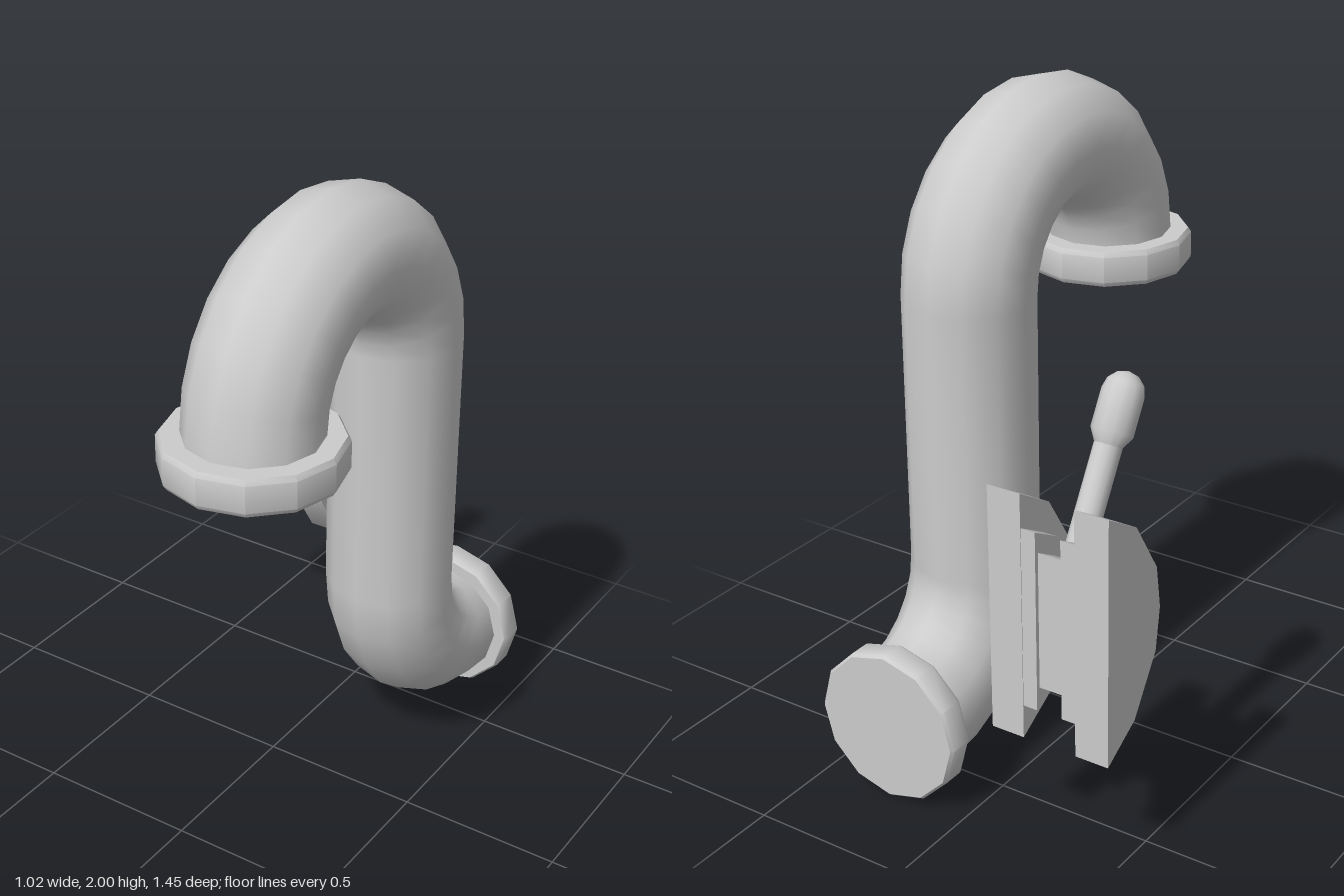
import * as THREE from 'three';
import { toCreasedNormals } from 'three/addons/utils/BufferGeometryUtils.js';

const SIDES = 12;
const PIPE_X = 0.25;
const PIPE_R = 0.195;
const grey = new THREE.MeshStandardMaterial({ color: 0xcccccc });
const greyDouble = new THREE.MeshStandardMaterial({ color: 0xcccccc, side: THREE.DoubleSide });

function add(parent, name, geometry, material = grey) {
  const mesh = new THREE.Mesh(geometry, material);
  mesh.name = name;
  parent.add(mesh);
  return mesh;
}

function lathe(points, sides) {
  const profile = points.map(([r, y]) => new THREE.Vector2(r, y));
  return toCreasedNormals(new THREE.LatheGeometry(profile, sides), 0.75);
}

// Rings swept along a hook, a straight drop and a bend to the wall
function pipeGeometry() {
  const rings = [];
  for (let i = 0; i <= 12; i++) {
    const a = (i * Math.PI) / 12, c = Math.cos(a), s = Math.sin(a);
    rings.push({ z: 0.1 + 0.367 * c, y: 1.44 + 0.367 * s, nz: c, ny: s });
  }
  for (let i = 0; i <= 6; i++) {
    const a = (-i * Math.PI) / 12, c = Math.cos(a), s = Math.sin(a);
    rings.push({ z: -0.64 + 0.37 * c, y: 0.615 + 0.37 * s, nz: -c, ny: -s });
  }
  const positions = [], index = [];
  rings.forEach(({ z, y, nz, ny }, i) => {
    for (let j = 0; j < SIDES; j++) {
      const b = (j * 2 * Math.PI) / SIDES, out = PIPE_R * Math.cos(b);
      positions.push(PIPE_X + PIPE_R * Math.sin(b), y + ny * out, z + nz * out);
      if (i === rings.length - 1) continue;
      const p = i * SIDES + j, q = i * SIDES + ((j + 1) % SIDES);
      index.push(p, q, p + SIDES, q, q + SIDES, p + SIDES);
    }
  });
  const g = new THREE.BufferGeometry();
  g.setAttribute('position', new THREE.Float32BufferAttribute(positions, 3));
  g.setIndex(index);
  g.computeVertexNormals();
  return g;
}

// Half-round disc standing against the wall, spanning x0..x1
function halfDisc(x0, x1, halfHeight, depth, back) {
  const half = [[0, 1], [0.52, 0.787], [0.925, 0.347], [1, 0]];
  const lower = half.slice(0, 3).reverse().map(([d, h]) => [d, -h]);
  const shape = new THREE.Shape(
    [...half, ...lower].map(([d, h]) => new THREE.Vector2(-d * depth, h * halfHeight))
  );
  const g = new THREE.ExtrudeGeometry(shape, { depth: x1 - x0, bevelEnabled: false });
  g.rotateY(Math.PI / 2); // extrusion runs along +x, shape -x becomes +z
  g.translate(x0, 0.765, back);
  return toCreasedNormals(g, 0.65);
}

export function createModel() {
  const model = new THREE.Group();

  // Pipe with an open mouth flange and a closed wall flange
  const pipe = new THREE.Group();
  pipe.name = 'pipe';
  add(pipe, 'pipeBody', pipeGeometry(), greyDouble);
  const mouth = add(pipe, 'mouthFlange', lathe([
    [0.195, 0], [0.25, 0], [0.26, 0.015], [0.26, 0.095], [0.25, 0.11], [0.19, 0.11], [0.195, 0],
  ], SIDES), greyDouble);
  mouth.position.set(PIPE_X, 1.33, 0.467);
  const wall = add(pipe, 'wallFlange', lathe([
    [0, 0], [0.232, 0], [0.24, 0.01], [0.24, 0.075], [0.232, 0.088], [0, 0.088],
  ], SIDES));
  wall.rotation.x = Math.PI / 2;
  wall.position.set(PIPE_X, 0.245, -0.727);
  model.add(pipe);

  // Lever housing: outer plates, inner cheeks and the slotted hub
  const lever = new THREE.Group();
  lever.name = 'leverSwitch';
  add(lever, 'rightPlate', halfDisc(-0.515, -0.41, 0.375, 0.26, -0.727));
  add(lever, 'leftPlate', halfDisc(-0.24, -0.135, 0.375, 0.26, -0.727));
  add(lever, 'rightCheek', halfDisc(-0.41, -0.365, 0.273, 0.205, -0.725));
  add(lever, 'leftCheek', halfDisc(-0.285, -0.24, 0.273, 0.205, -0.725));
  add(lever, 'hub', halfDisc(-0.365, -0.285, 0.207, 0.155, -0.712));

  // Handle leaning forward out of the hub, with a thicker rounded grip
  const handle = new THREE.Group();
  handle.name = 'handle';
  add(handle, 'shaft', lathe([[0, 0], [0.04, 0], [0.04, 0.44], [0, 0.44]], SIDES));
  add(handle, 'grip', lathe([
    [0, 0.405], [0.04, 0.405], [0.06, 0.44], [0.06, 0.55],
    [0.052, 0.58], [0.03, 0.602], [0, 0.61],
  ], SIDES));
  handle.position.set(-0.325, 0.835, -0.634);
  handle.rotation.x = Math.PI / 6;
  lever.add(handle);
  model.add(lever);

  return model;
}
